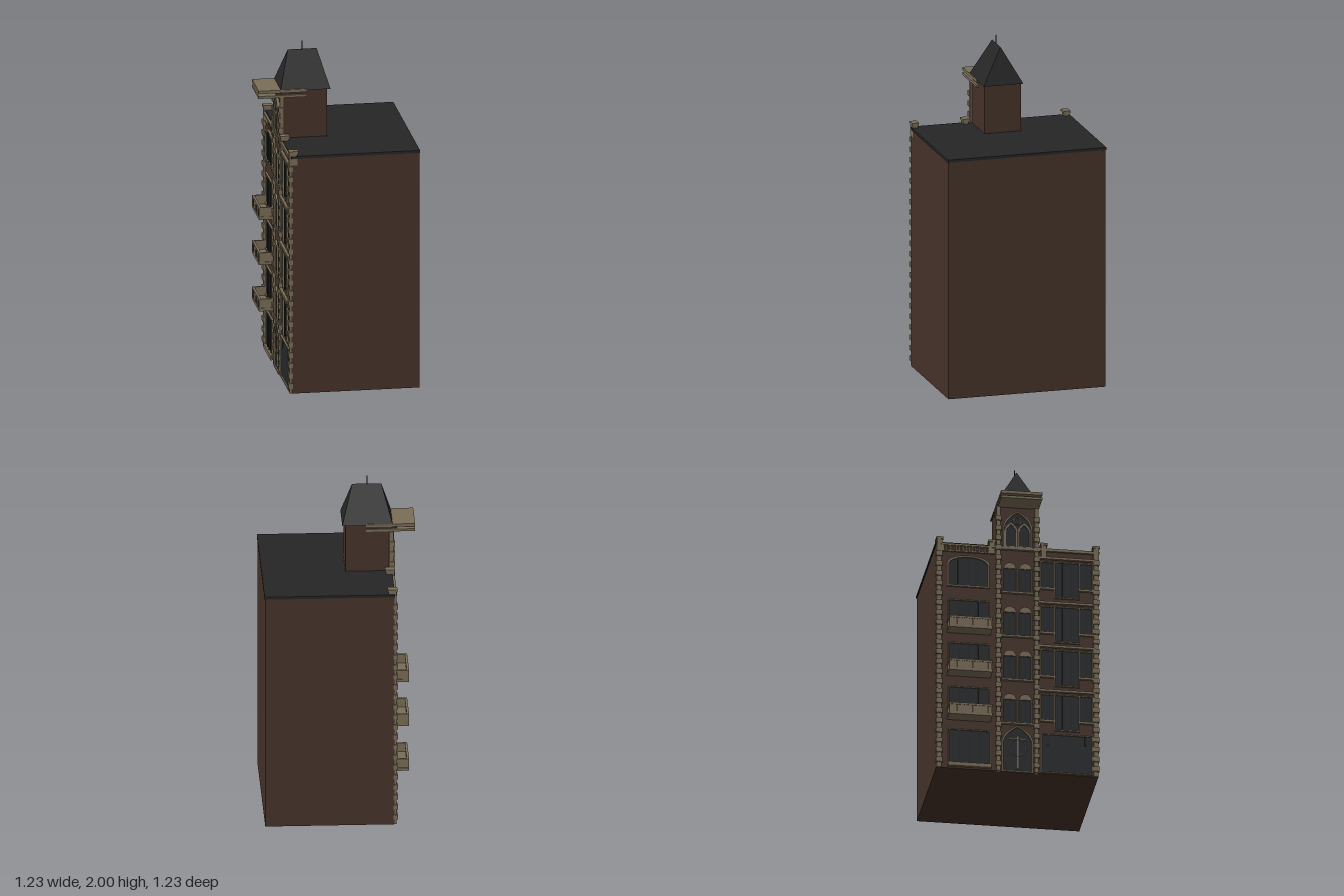
import * as THREE from 'three';

const material = (name, color) => {
  const m = new THREE.MeshStandardMaterial({ color });
  m.name = name;
  return m;
};

export function createModel() {
  const brick = material('brown brick', 0x46332a);
  const stone = material('tan stone', 0x7a6e58);
  const slate = material('dark slate', 0x262627);
  const glass = material('dark glass', 0x25282a);
  glass.side = THREE.DoubleSide;

  const model = new THREE.Group();
  model.name = 'townhouse';
  // The facade is laid out along local x and faces local +z, then turned 45 degrees
  const house = new THREE.Group();
  house.name = 'house';
  house.rotation.y = -Math.PI / 4;
  model.add(house);

  const F = 0.37; // facade plane
  const add = (name, geo, mat, x = 0, y = 0, z = 0) => {
    const m = new THREE.Mesh(geo, mat);
    m.name = name;
    m.position.set(x, y, z);
    house.add(m);
    return m;
  };
  const box = (name, mat, x0, x1, y0, y1, z0, z1) =>
    add(name, new THREE.BoxGeometry(x1 - x0, y1 - y0, z1 - z0), mat, (x0 + x1) / 2, (y0 + y1) / 2, (z0 + z1) / 2);

  // Opening outline: square, round-headed or pointed, rising by "rise" at the top
  const outline = (Type, x0, x1, y0, y1, rise = 0, pointed = false) => {
    const s = new Type();
    const c = (x0 + x1) / 2, sp = y1 - rise, w = (x1 - x0) / 2;
    s.moveTo(x0, y0);
    s.lineTo(x1, y0);
    s.lineTo(x1, sp);
    if (pointed) {
      s.quadraticCurveTo(x1, sp + rise * 0.55, c, y1);
      s.quadraticCurveTo(x0, sp + rise * 0.55, x0, sp);
    } else if (rise > 0) s.absellipse(c, sp, w, rise, 0, Math.PI, false);
    else s.lineTo(x0, sp);
    s.lineTo(x0, y0);
    return s;
  };

  // Window: dark pane, stone surround and upright bars
  const opening = (name, x0, x1, y0, y1, { rise = 0, pointed = false, bars = 0, t = 0.007, d = 0.012 } = {}) => {
    add(name + 'Pane', new THREE.ShapeGeometry(outline(THREE.Shape, x0, x1, y0, y1, rise, pointed), 8), glass, 0, 0, F + 0.003);
    const rim = outline(THREE.Shape, x0 - t, x1 + t, y0 - t, y1 + t, rise, pointed);
    rim.holes.push(outline(THREE.Path, x0, x1, y0, y1, rise, pointed));
    add(name + 'Frame', new THREE.ExtrudeGeometry(rim, { depth: d, bevelEnabled: false, curveSegments: 8 }), stone, 0, 0, F);
    for (let i = 1; i <= bars; i++) {
      const x = x0 + (x1 - x0) * i / (bars + 1);
      box(name + 'Bar', slate, x - 0.004, x + 0.004, y0, y1 - rise * 0.3, F, F + 0.009);
    }
  };

  // Main block and flat roof
  box('mainBlock', brick, -0.477, 0.477, 0, 1.432, -0.384, F);
  box('flatRoof', slate, -0.482, 0.482, 1.43, 1.446, -0.388, F + 0.002);

  // Stair tower with hipped roof and finial
  box('tower', brick, -0.108, 0.113, 1.44, 1.74, 0.1, F);
  let hip = new THREE.BoxGeometry(0.242, 0.215, 0.295);
  const p = hip.attributes.position;
  for (let i = 0; i < p.count; i++)
    if (p.getY(i) > 0) {
      p.setX(i, 0);
      p.setZ(i, Math.sign(p.getZ(i)) * 0.085);
    }
  hip = hip.toNonIndexed();
  hip.computeVertexNormals();
  add('towerRoof', hip, slate, 0.003, 1.8425, 0.229);
  add('finial', new THREE.CylinderGeometry(0.003, 0.003, 0.06, 6), slate, 0.003, 1.97, 0.23);

  // Deep double canopy wrapping the front of the tower
  box('canopyLower', stone, -0.116, 0.126, 1.695, 1.71, 0.22, 0.506);
  box('canopyUpper', stone, -0.116, 0.126, 1.724, 1.742, 0.22, 0.506);
  box('canopyCore', brick, -0.1, 0.108, 1.705, 1.73, 0.24, 0.4);

  // Pilasters with alternating quoins
  const pilaster = (name, x, w, top) => {
    box(name, stone, x - w / 2, x + w / 2, 0, top, F - 0.015, F + 0.01);
    for (let y = 0.03; y < top - 0.03; y += 0.063)
      box(name + 'Quoin', stone, x - w / 2 - 0.006, x + w / 2 + 0.006, y, y + 0.03, F - 0.008, F + 0.018);
  };
  pilaster('leftCornerPilaster', -0.462, 0.026, 1.43);
  pilaster('rightCornerPilaster', 0.462, 0.026, 1.43);
  pilaster('towerLeftPilaster', -0.112, 0.022, 1.695);
  pilaster('towerRightPilaster', 0.112, 0.022, 1.695);

  // Stone blocks along the parapet
  for (const x of [-0.457, -0.15, 0.155, 0.462]) {
    box('parapetBlock', stone, x - 0.016, x + 0.016, 1.39, 1.465, F - 0.035, F + 0.012);
    box('parapetCap', stone, x - 0.021, x + 0.021, 1.462, 1.476, F - 0.04, F + 0.016);
  }

  // Left bay: cornice, brackets, windows and balconies
  box('leftCornice', stone, -0.45, -0.125, 1.425, 1.437, F, F + 0.015);
  box('leftCorniceBase', stone, -0.45, -0.125, 1.388, 1.396, F, F + 0.012);
  for (let i = 0; i < 16; i++) {
    const x = -0.435 + i * 0.019;
    box('corniceBracket', stone, x - 0.004, x + 0.004, 1.395, 1.427, F, F + 0.011);
  }
  opening('leftGroundWindow', -0.4, -0.165, 0.03, 0.245, { bars: 3 });
  box('leftGroundSill', stone, -0.41, -0.155, 0.01, 0.034, F, F + 0.02);
  for (const y of [0.31, 0.592, 0.868]) {
    opening('leftWindow', -0.4, -0.17, y + 0.03, y + 0.208, { bars: 3 });
    // Balcony with floor, balusters and handrail
    const x0 = -0.414, x1 = -0.159, z1 = 0.457;
    box('balconyFloor', stone, x0, x1, y, y + 0.018, F, z1);
    box('balconyFrontRail', stone, x0, x1, y + 0.062, y + 0.074, z1 - 0.014, z1);
    box('balconyFrontPanel', stone, x0 + 0.004, x1 - 0.004, y + 0.018, y + 0.062, z1 - 0.009, z1 - 0.005);
    for (const x of [x0, x1 - 0.012]) {
      box('balconySideRail', stone, x, x + 0.012, y + 0.062, y + 0.074, F, z1);
      box('balconySidePanel', stone, x + 0.004, x + 0.008, y + 0.018, y + 0.062, F, z1);
    }
    for (let i = 0; i <= 16; i++) {
      const x = x0 + 0.006 + i * (x1 - x0 - 0.012) / 16;
      box('baluster', stone, x - 0.004, x + 0.004, y + 0.018, y + 0.062, z1 - 0.011, z1 - 0.001);
    }
  }
  opening('leftArchedWindow', -0.405, -0.175, 1.175, 1.355, { rise: 0.05, bars: 3, t: 0.01 });

  // Middle bay: paired round-headed windows
  for (const y of [0.315, 0.595, 0.875, 1.155]) {
    for (const s of [-1, 1]) {
      const c = s * 0.046;
      opening('stairWindow', c - 0.034, c + 0.034, y, y + 0.145, { bars: 1, t: 0.006 });
      const head = new THREE.Shape();
      head.absarc(0, 0, 0.036, 0, Math.PI, false);
      add('stairWindowHead', new THREE.ExtrudeGeometry(head, { depth: 0.012, bevelEnabled: false, curveSegments: 10 }),
        stone, c, y + 0.146, F);
    }
    box('stairWindowSill', stone, -0.095, 0.095, y - 0.014, y - 0.004, F, F + 0.018);
  }

  // Pointed entrance door with ring ornament
  opening('entranceDoor', -0.084, 0.084, 0.005, 0.285, { rise: 0.11, pointed: true, t: 0.009 });
  const ring = add('doorRing', new THREE.TorusGeometry(0.05, 0.003, 6, 24), stone, 0, 0.155, F + 0.008);
  ring.scale.y = 1.1;
  box('doorPost', stone, -0.004, 0.004, 0.02, 0.225, F, F + 0.01);
  box('doorCrossbar', stone, -0.05, 0.05, 0.205, 0.211, F, F + 0.01);

  // Tower front: pointed arch over twin lancets and a rosette
  opening('towerArch', -0.078, 0.078, 1.44, 1.66, { rise: 0.11, pointed: true, t: 0.009, d: 0.016 });
  for (const s of [-1, 1]) {
    const rim = outline(THREE.Shape, s * 0.039 - 0.038, s * 0.039 + 0.038, 1.44, 1.595, 0.06, true);
    rim.holes.push(outline(THREE.Path, s * 0.039 - 0.03, s * 0.039 + 0.03, 1.445, 1.583, 0.055, true));
    add('towerLancet', new THREE.ExtrudeGeometry(rim, { depth: 0.01, bevelEnabled: false, curveSegments: 8 }), stone, 0, 0, F);
  }
  add('towerRosette', new THREE.TorusGeometry(0.022, 0.005, 6, 20), stone, 0, 1.61, F + 0.008);
  box('towerSill', stone, -0.1, 0.1, 1.42, 1.436, F, F + 0.018);

  // Right bay: string courses and three-part windows
  for (const y of [0.525, 0.81, 1.09, 1.375]) {
    box('stringCourse', stone, 0.122, 0.452, y, y + 0.014, F, F + 0.016);
    opening('rightCentreWindow', 0.222, 0.358, y - 0.24, y - 0.02, { bars: 2 });
    for (const c of [0.177, 0.403]) {
      opening('rightSideWindow', c - 0.037, c + 0.037, y - 0.18, y - 0.02, { bars: 1 });
      box('rightSideSill', stone, c - 0.045, c + 0.045, y - 0.194, y - 0.184, F, F + 0.015);
    }
  }
  box('rightCornice', stone, 0.122, 0.452, 1.425, 1.442, F, F + 0.014);

  // Wide ground floor doorway with transom bars
  opening('shopDoor', 0.145, 0.437, 0.012, 0.25);
  for (const x of [0.18, 0.4])
    box('shopDoorBar', slate, x - 0.004, x + 0.004, 0.19, 0.25, F, F + 0.009);

  return model;
}
